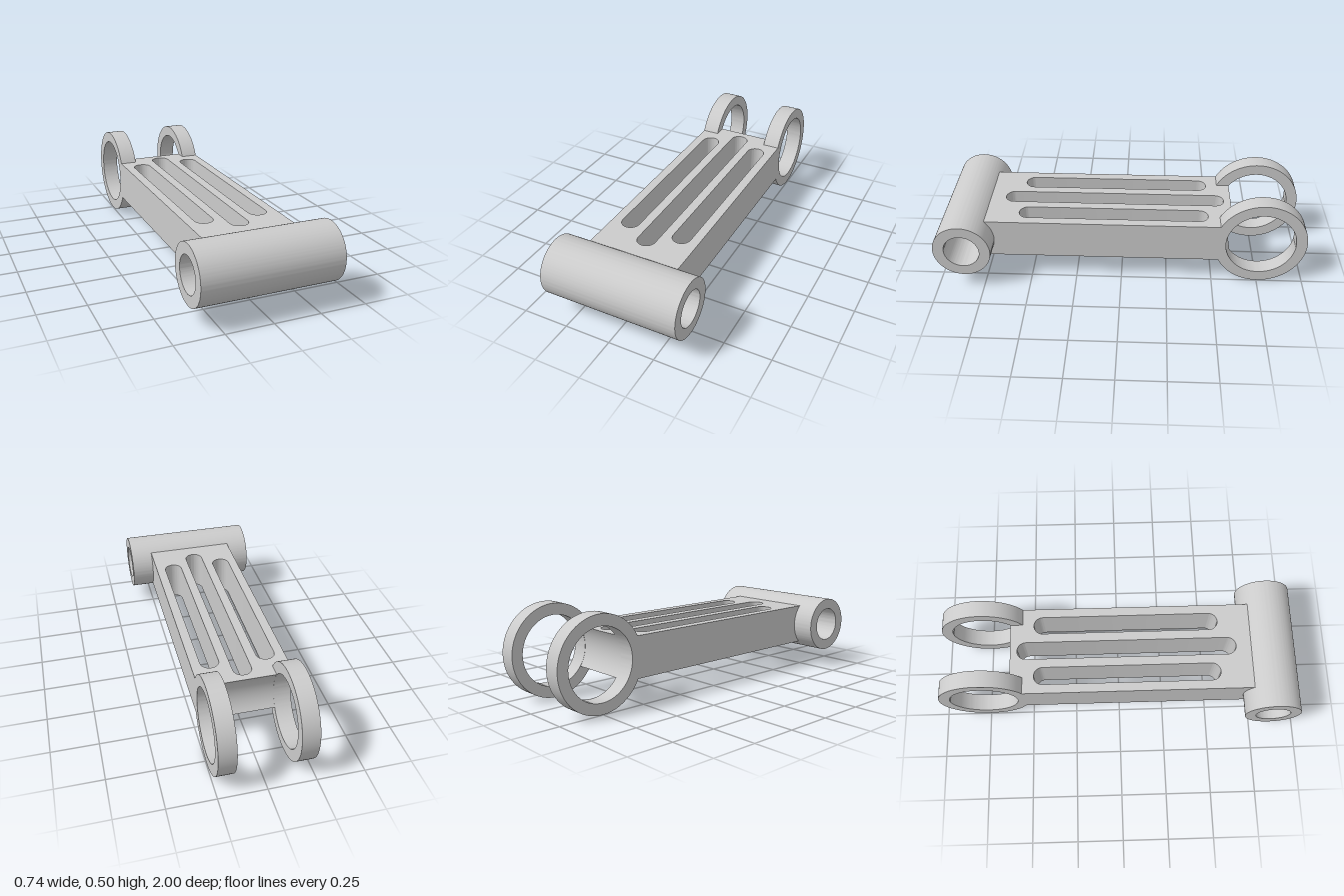
import * as THREE from 'three';
import { toCreasedNormals } from 'three/addons/utils/BufferGeometryUtils.js';

const AXIS_Y = 0.248;             // height of both bores
const LUG_Z = -0.752, LUG_R = 0.248, LUG_BORE = 0.188;
const TUBE_Z = 0.846, TUBE_R = 0.154, TUBE_BORE = 0.095;
const HALF_W = 0.247, BAR_H = 0.22;

const material = new THREE.MeshStandardMaterial({ color: 0xcccccc });

function part(name, geometry) {
  const mesh = new THREE.Mesh(toCreasedNormals(geometry, 0.5), material);
  mesh.name = name;
  return mesh;
}

// Hollow cylinder lying along x, centred on its own origin
function ringGeometry(outer, inner, length) {
  const shape = new THREE.Shape().absarc(0, 0, outer, 0, Math.PI * 2, false);
  shape.holes.push(new THREE.Path().absarc(0, 0, inner, 0, Math.PI * 2, true));
  return new THREE.ExtrudeGeometry(shape, { depth: length, bevelEnabled: false, curveSegments: 72 })
    .translate(0, 0, -length / 2)
    .rotateY(Math.PI / 2);
}

// Round-ended slot between two z positions (shape y is -z)
function slot(x, zBack, zFront, r) {
  const path = new THREE.Path();
  path.absarc(x, -zBack - r, r, 0, Math.PI, false);
  path.absarc(x, -zFront + r, r, Math.PI, Math.PI * 2, false);
  path.closePath();
  return path;
}

// Slotted bar whose back end is hollowed to continue the lug bore
function barGeometry() {
  const back = -0.6, front = 0.74;
  const shape = new THREE.Shape([
    new THREE.Vector2(-HALF_W, -front), new THREE.Vector2(HALF_W, -front),
    new THREE.Vector2(HALF_W, -back), new THREE.Vector2(-HALF_W, -back),
  ]);
  shape.holes.push(slot(0, -0.56, 0.655, 0.049));
  for (const s of [-1, 1]) shape.holes.push(slot(s * 0.148, -0.467, 0.56, 0.049));

  const geo = new THREE.ExtrudeGeometry(shape, {
    depth: BAR_H, steps: 20, bevelEnabled: false, curveSegments: 20,
  });
  geo.translate(0, 0, -BAR_H / 2).rotateX(-Math.PI / 2);
  const p = geo.attributes.position;
  const r = LUG_BORE + 0.001;
  for (let i = 0; i < p.count; i++) {
    if (p.getZ(i) < -0.59) p.setZ(i, LUG_Z + Math.sqrt(r * r - p.getY(i) ** 2));
  }
  return geo;
}

export function createModel() {
  const model = new THREE.Group();
  model.name = 'linkArm';

  const bar = part('slottedBar', barGeometry());
  bar.position.y = AXIS_Y;
  model.add(bar);

  // Wide pivot tube across the front
  const tube = part('pivotTube', ringGeometry(TUBE_R, TUBE_BORE, 0.74));
  tube.position.set(0, AXIS_Y, TUBE_Z);
  model.add(tube);

  // Pair of large ring lugs at the back
  const lugWidth = 0.092;
  for (const [name, s] of [['leftRingLug', 1], ['rightRingLug', -1]]) {
    const lug = part(name, ringGeometry(LUG_R, LUG_BORE, lugWidth));
    lug.position.set(s * (HALF_W - lugWidth / 2), AXIS_Y, LUG_Z);
    model.add(lug);
  }
  return model;
}
